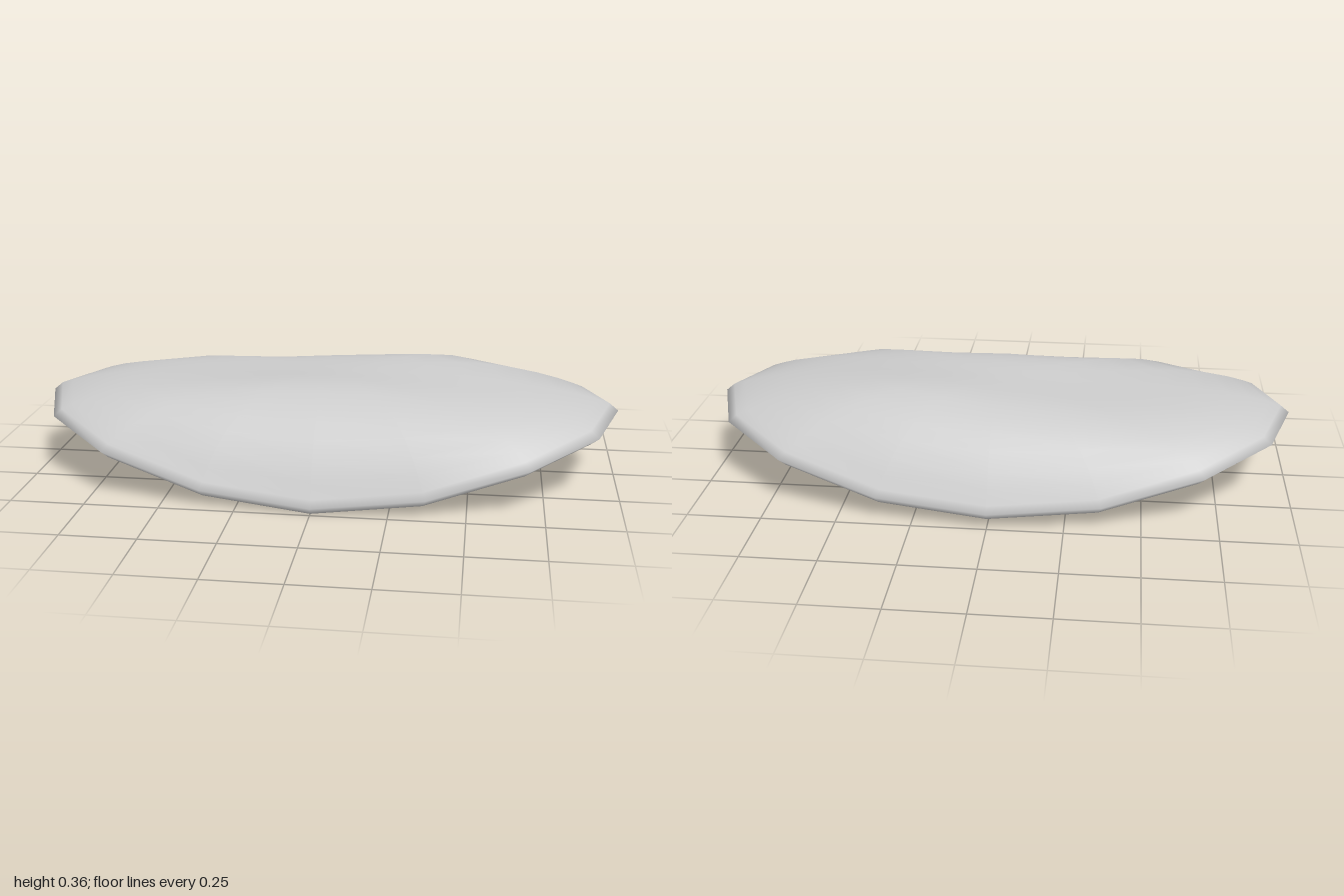
import * as THREE from 'three';
import { mergeVertices } from 'three/addons/utils/BufferGeometryUtils.js';

// Rim corners [x, y, z] from the back, round the left end, to the front
const half = [
  [0, 0.06, -0.51], [0.37, 0.085, -0.475], [0.7, 0.18, -0.42], [0.92, 0.225, -0.235], [1, 0.24, 0.01],
  [0.92, 0.22, 0.26], [0.7, 0.167, 0.445], [0.37, 0.06, 0.475], [0, 0.024, 0.5],
];
// Mirror the inner corners to close the outline
const rim = [...half, ...half.slice(1, -1).reverse().map(([x, y, z]) => [-x, y, z])];

// Soft hill used for the gentle waves of the surface
const hill = (x, z, cx, cz, rx, rz) => Math.exp(-(((x - cx) / rx) ** 2) - ((z - cz) / rz) ** 2);

const EDGE = 0.97; // where the rounded rim meets the two faces

function topHeight(x, z, t, y) {
  const s = t / EDGE;
  const wave = 0.03 * hill(x, z, 0.38, -0.18, 0.35, 0.18) - 0.012 * hill(x, z, -0.45, -0.1, 0.35, 0.3)
    + 0.012 * hill(x, z, 0, 0.15, 0.4, 0.15);
  return y + 0.025 + (0.335 - y - 0.025) * (1 - s ** 4.5) + wave * (1 - s ** 6);
}

function bottomHeight(x, z, t, y) {
  const s = t / EDGE;
  const wave = 0.035 * hill(x, z, 0, -0.24, 0.8, 0.12) + 0.018 * hill(x, z, 0, 0.2, 0.8, 0.12);
  return y - 0.022 + (0.105 - y + 0.022) * (1 - s ** 2.6) + wave * (1 - s ** 6);
}

export function createModel() {
  const group = new THREE.Group();
  const positions = [], index = [];
  const steps = [0, 0.12, 0.24, 0.36, 0.48, 0.6, 0.7, 0.79, 0.87, 0.93, EDGE];
  const n = rim.length;

  // Rings run from the middle of the underside, over the rim, to the middle of the top
  const rings = [
    ...steps.map((t) => [t, bottomHeight]),
    [1, (x, z, t, y) => y],
    ...steps.slice().reverse().map((t) => [t, topHeight]),
  ];
  for (const [t, height] of rings) {
    for (const [rx, ry, rz] of rim) {
      const x = rx * t, z = rz * t;
      positions.push(x, height(x, z, t, ry), z);
    }
  }
  for (let j = 0; j < rings.length - 1; j++) {
    for (let i = 0; i < n; i++) {
      const k = (i + 1) % n;
      const a = j * n + i, b = j * n + k, c = a + n, d = b + n;
      if (j < rings.length - 2) index.push(a, c, d);
      if (j > 0) index.push(a, d, b);
    }
  }

  let geometry = new THREE.BufferGeometry();
  geometry.setAttribute('position', new THREE.Float32BufferAttribute(positions, 3));
  geometry.setIndex(index);
  // Weld the two middle points, then shade smoothly
  geometry = mergeVertices(geometry, 1e-5);
  geometry.computeVertexNormals();

  const body = new THREE.Mesh(geometry, new THREE.MeshStandardMaterial({ color: 0xcccccc }));
  body.name = 'curvedSlab';
  group.add(body);
  return group;
}
